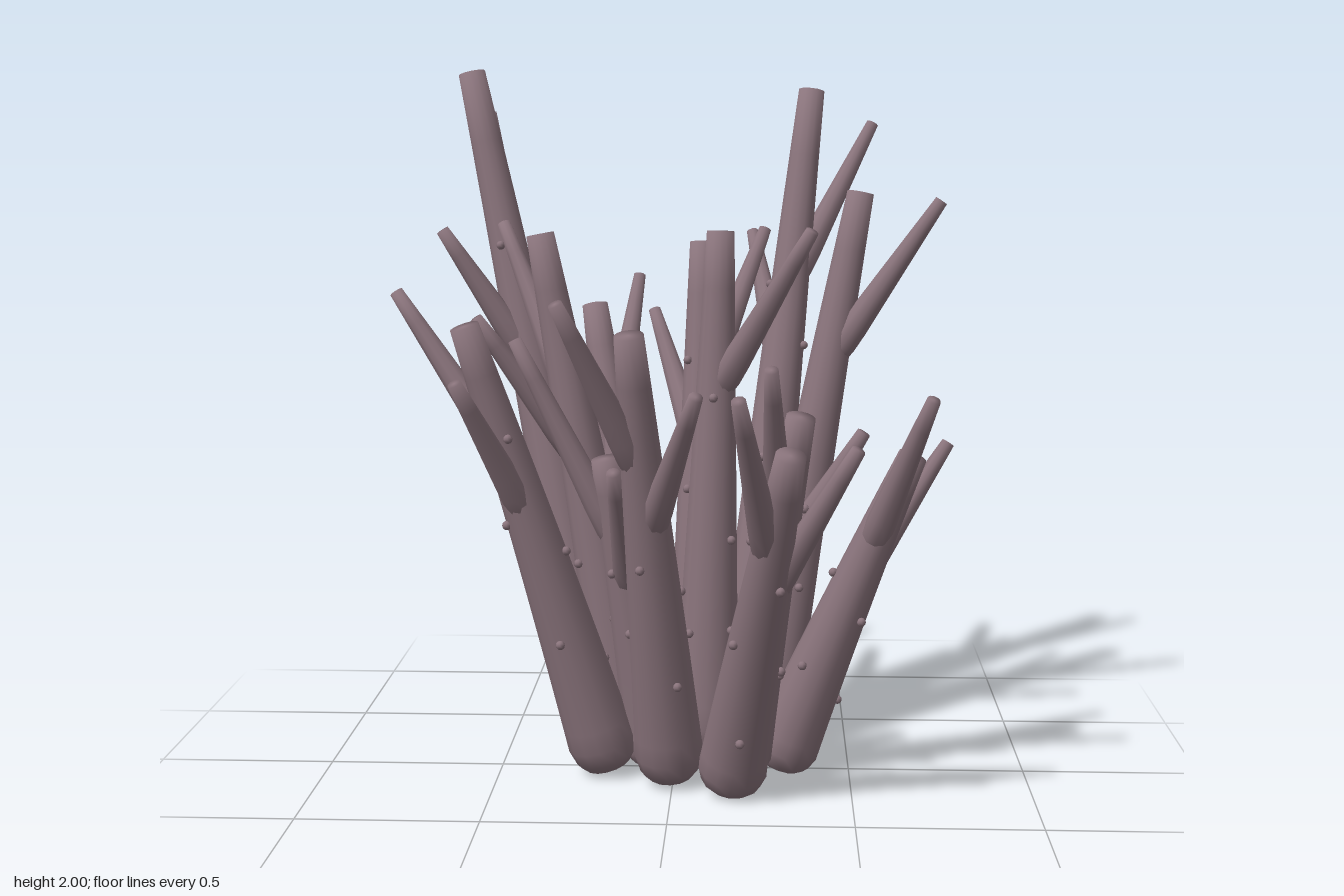
import * as THREE from 'three';
import { toCreasedNormals } from 'three/addons/utils/BufferGeometryUtils.js';

// Each stalk: its tip, then the tips of its upper and lower branch
const STALKS = [
  [[-0.63, 1.99, -0.47], [-0.6, 1.87, -0.66], [-0.7, 1.53, -0.3]],
  [[-0.28, 1.28, -0.66], [-0.15, 1.36, -0.83], [-0.4, 1.28, -0.6]],
  [[0.39, 1.94, -0.68], [0.58, 1.84, -0.73], [0.21, 1.5, -0.82]],
  [[0.53, 1.64, -0.36], [0.76, 1.62, -0.27], [0.51, 1.35, -0.53]],
  [[0.065, 1.49, -0.43], [0.25, 1.52, -0.6], [-0.09, 1.27, -0.6]],
  [[0.125, 1.54, -0.1], [0.38, 1.55, 0.1]],
  [[-0.39, 1.53, -0.11], [-0.52, 1.55, -0.32], [-0.56, 1.3, 0.02]],
  [[-0.56, 1.3, 0.24], [-0.77, 1.38, 0.09], [-0.57, 1.16, 0.37]],
  [[-0.1, 1.3, 0.46], [-0.28, 1.39, 0.57], [0.08, 1.16, 0.61]],
  [[-0.19, 0.92, 0.11], [-0.44, 1.25, 0.11], [-0.15, 0.92, 0.35]],
  [[0.35, 1.07, 0.32], [0.27, 1.22, 0.53], [0.52, 1.02, 0.26]],
  [[0.66, 0.94, 0.15], [0.7, 1.12, 0.34], [0.77, 0.95, -0.02]],
  [[0.32, 1.02, 0.66], [0.19, 1.18, 0.83], [0.49, 1.03, 0.63]],
];

// Where the upper and lower branch leave the stem
const BRANCH_ROOTS = [0.69, 0.56];
const UP = new THREE.Vector3(0, 1, 0);

// Radius along a stem: rounded foot, then a steady taper to a blunt tip
const stemRadius = (t) => (0.1 - 0.06 * t) * (1 - 0.35 * Math.max(0, 1 - t / 0.05) ** 2);
// Radius along a branch: a cone with a slightly drawn-in root
const branchRadius = (t) => (0.048 - 0.029 * t) * (1 - 0.4 * Math.max(0, 1 - t / 0.2) ** 2);

// Capped round body that follows a curve
function sweep(radius, curve, steps, sides) {
  const profile = [new THREE.Vector2(0, 0)];
  for (let i = 0; i <= steps; i++) {
    const t = (i / steps) ** 1.5;
    profile.push(new THREE.Vector2(radius(t), t));
  }
  profile.push(new THREE.Vector2(0, 1));
  const geo = new THREE.LatheGeometry(profile, sides);
  const pos = geo.attributes.position;
  const v = new THREE.Vector3();
  const q = new THREE.Quaternion();
  for (let i = 0; i < pos.count; i++) {
    const t = pos.getY(i);
    q.setFromUnitVectors(UP, curve.getTangent(t));
    v.set(pos.getX(i), 0, pos.getZ(i)).applyQuaternion(q).add(curve.getPoint(t));
    pos.setXYZ(i, v.x, v.y, v.z);
  }
  return toCreasedNormals(geo, 1.8);
}

export function createModel() {
  const group = new THREE.Group();
  group.name = 'branchingCluster';
  const material = new THREE.MeshStandardMaterial({ color: 0x8a747c });
  const nubGeometry = new THREE.SphereGeometry(0.013, 8, 6);

  STALKS.forEach(([tipPoint, ...branchTips], s) => {
    const stalk = new THREE.Group();
    stalk.name = `stalk${s + 1}`;
    const add = (name, geometry) => {
      const mesh = new THREE.Mesh(geometry, material);
      mesh.name = name;
      stalk.add(mesh);
      return mesh;
    };

    // Stems fan out from a tight foot and lean further out toward the tip
    const tip = new THREE.Vector3(...tipPoint);
    const base = new THREE.Vector3(tip.x * 0.4 + 0.035, 0.025, tip.z * 0.4 - 0.04);
    const mid = base.clone().lerp(tip, 0.47).setY((base.y + tip.y) / 2);
    const curve = new THREE.QuadraticBezierCurve3(base, mid, tip);
    add('stem', sweep(stemRadius, curve, 14, 14));

    // Tapered side branches rooted inside the stem
    branchTips.forEach((end, i) => {
      const line = new THREE.LineCurve3(curve.getPoint(BRANCH_ROOTS[i]), new THREE.Vector3(...end));
      add('branch', sweep(branchRadius, line, 8, 10));
    });

    // Small nubs spiralling up the stem
    for (let i = 0; i < 7; i++) {
      const t = 0.2 + i * 0.09 + (s % 3) * 0.02;
      const angle = i * 2.4 + s * 1.7;
      const q = new THREE.Quaternion().setFromUnitVectors(UP, curve.getTangent(t));
      const out = new THREE.Vector3(Math.cos(angle), 0, Math.sin(angle)).applyQuaternion(q);
      add('nub', nubGeometry).position.copy(curve.getPoint(t)).addScaledVector(out, stemRadius(t) + 0.004);
    }
    group.add(stalk);
  });
  return group;
}
